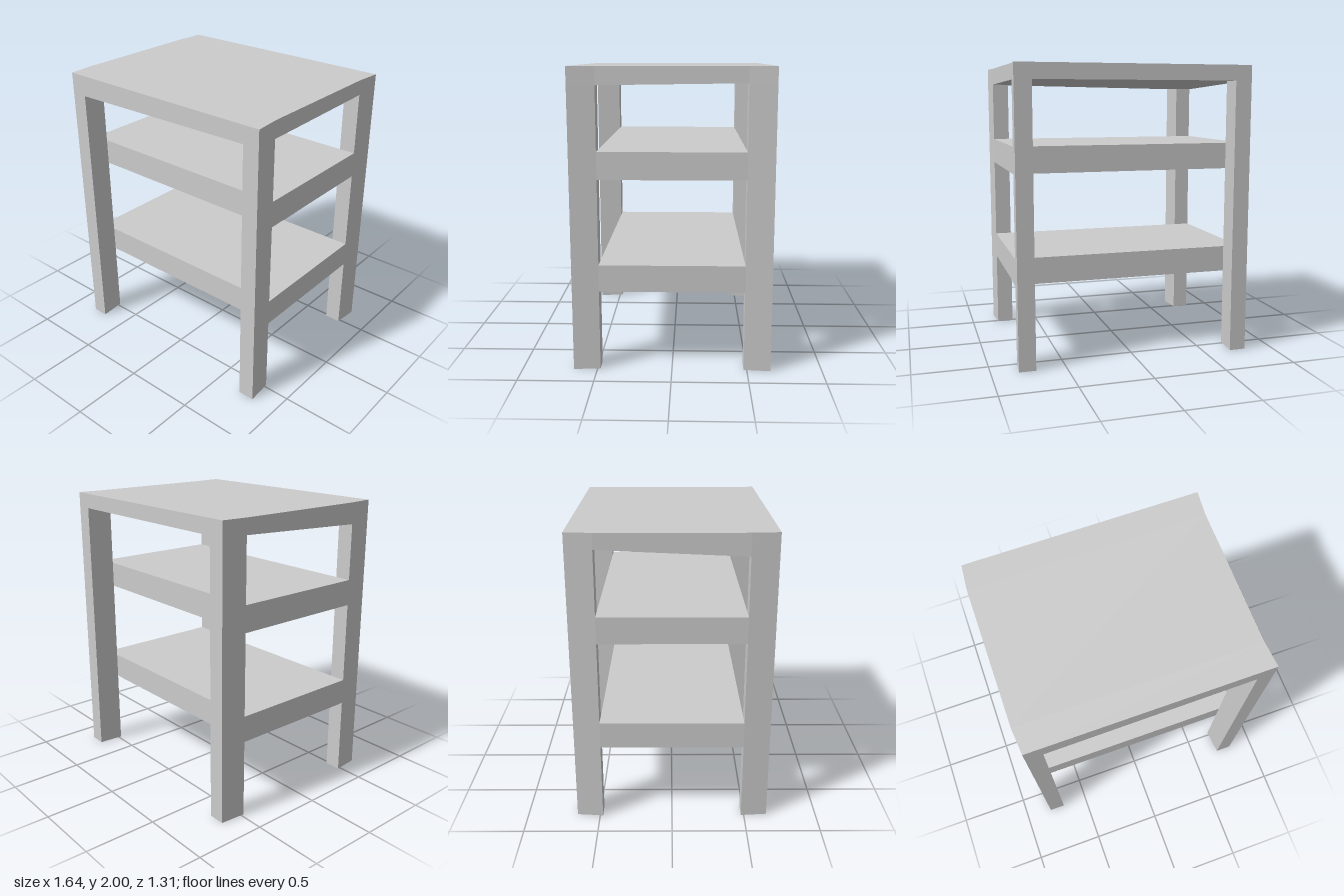
import * as THREE from 'three';

const material = new THREE.MeshStandardMaterial({ color: 0xcccccc, flatShading: true });
const Z_OUT = 0.657, Z_IN = 0.48; // outer and inner depth of the legs
const SKEW = 0.015; // sideways lean of each leg's plan
const LEFT = 0.82, RIGHT = -0.82;

// Height of the slightly warped underside of the top
function undersideY(x, z) {
  const front = THREE.MathUtils.lerp(1.855, 1.88, (x + 0.69) / 1.39);
  const t = THREE.MathUtils.clamp((Z_IN - z) / (2 * Z_IN), 0, 1);
  return THREE.MathUtils.lerp(front, 1.895, t);
}

// Unit box whose vertices are moved by a rule: (x, y, z signs) -> [x, y, z]
function warpedBox(name, zSegments, rule) {
  const geometry = new THREE.BoxGeometry(2, 2, 2, 1, 1, zSegments);
  const p = geometry.attributes.position;
  for (let i = 0; i < p.count; i++) p.setXYZ(i, ...rule(p.getX(i), p.getY(i), p.getZ(i)));
  geometry.computeVertexNormals();
  const mesh = new THREE.Mesh(geometry, material);
  mesh.name = name;
  return mesh;
}

export function createModel() {
  const group = new THREE.Group();
  group.name = 'shelfTable';

  // Top: full plan, its sides kinked where the legs begin
  group.add(warpedBox('top', 3, (sx, sy, sz) => {
    const outer = Math.abs(sz) > 0.9;
    const z = Math.sign(sz) * (outer ? Z_OUT : Z_IN);
    const x = (sx > 0 ? LEFT : RIGHT + SKEW) - (outer ? 0 : SKEW);
    return [x, sy > 0 ? 2 : undersideY(x, z), z];
  }));

  // Four legs with a skewed rectangular plan, mirrored front to back
  for (const side of [1, -1]) {
    for (const end of [1, -1]) {
      const name = (end > 0 ? 'front' : 'back') + (side > 0 ? 'Left' : 'Right') + 'Leg';
      group.add(warpedBox(name, 1, (sx, sy, sz) => {
        const outer = sz * end > 0;
        const z = end * (outer ? Z_OUT : Z_IN);
        const [x0, x1] = side > 0 ? [0.705, LEFT] : [RIGHT + SKEW, -0.69];
        const x = (sx > 0 ? x1 : x0) - (outer ? 0 : SKEW);
        return [x, sy > 0 ? undersideY(x, z) : 0, z];
      }));
    }
  }

  // Two thick shelves set between the front and back legs
  const x0 = RIGHT, x1 = LEFT - SKEW;
  [['lowerShelf', 0.63], ['upperShelf', 1.375]].forEach(([name, y]) => {
    const shelf = new THREE.Mesh(new THREE.BoxGeometry(x1 - x0, 0.18, 2 * Z_IN), material);
    shelf.name = name;
    shelf.position.set((x0 + x1) / 2, y, 0);
    group.add(shelf);
  });

  return group;
}
